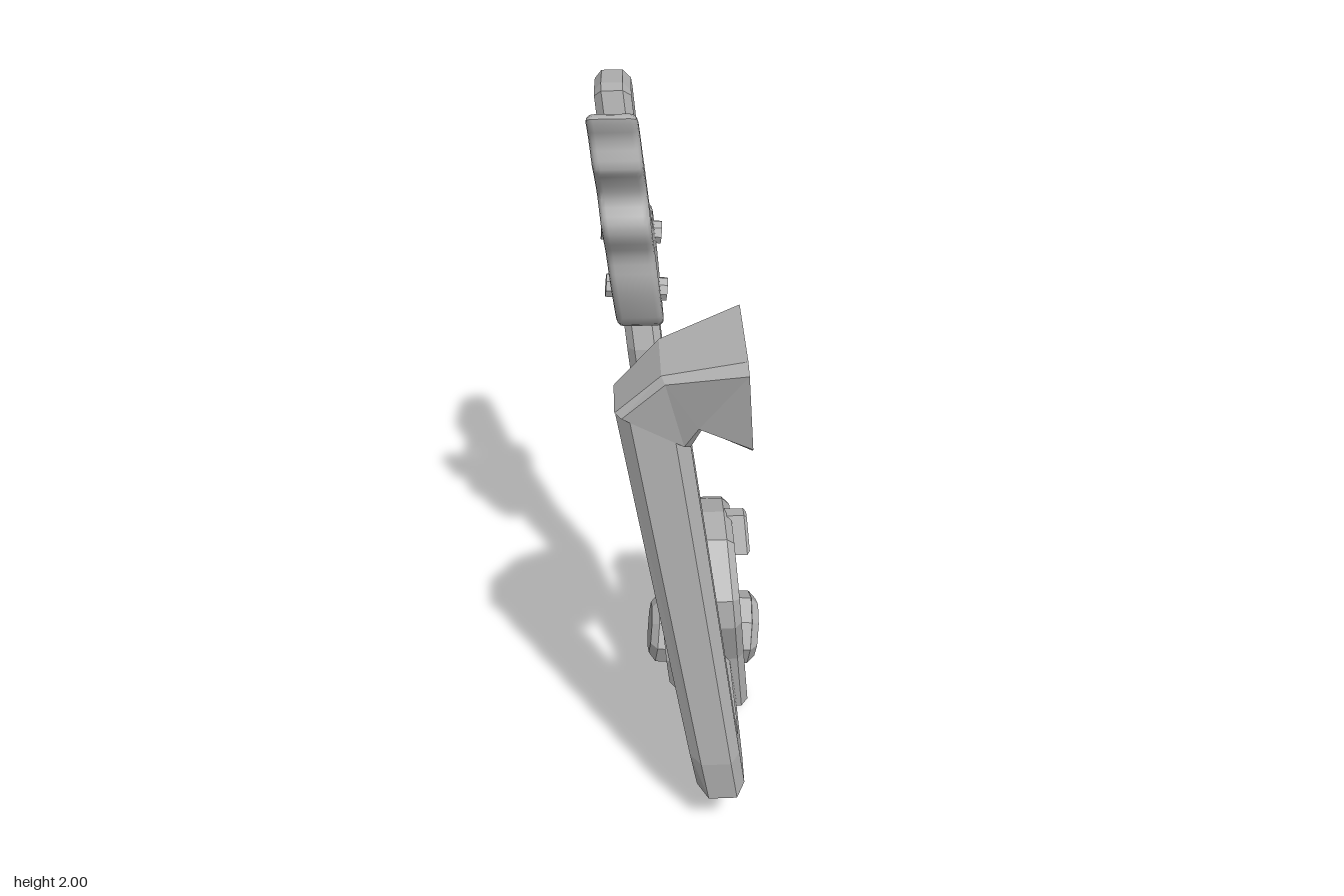
import * as THREE from 'three';
import { toCreasedNormals } from 'three/addons/utils/BufferGeometryUtils.js';

const steel = new THREE.MeshStandardMaterial({ color: 0xb4b4b4 });
steel.name = 'grey steel';

// Sideways lean of each assembly: x as a function of height
const leverX = (y) => 0.036 - 0.103 * y;
const armX = (y) => 0.117 - 0.148 * y;
const bracketX = (y) => 0.145 - 0.085 * y;

function addMesh(parent, name, geometry) {
  const mesh = new THREE.Mesh(geometry, steel);
  mesh.name = name;
  parent.add(mesh);
  return mesh;
}

// Bevelled plate from a [z, y] outline, extruded along x and leaned sideways
function plate(outline, width, bevel, lean, { hole, segments = 1 } = {}) {
  const toV = ([z, y]) => new THREE.Vector2(-z, y);
  const shape = new THREE.Shape(outline.map(toV));
  if (hole) shape.holes.push(new THREE.Path(hole.map(toV)));
  const depth = width - 2 * bevel;
  const g = new THREE.ExtrudeGeometry(shape, {
    depth, bevelEnabled: true, bevelThickness: bevel, bevelSize: bevel,
    bevelOffset: -bevel, bevelSegments: segments, steps: 1,
  });
  g.translate(0, 0, -depth / 2).rotateY(Math.PI / 2);
  const p = g.attributes.position;
  for (let i = 0; i < p.count; i++) p.setX(i, p.getX(i) + lean(p.getY(i)));
  g.computeVertexNormals();
  return g;
}

// Flat-shaded skin over four-cornered rings whose corners are chamfered
function loft(rings, chamfer) {
  const loops = rings.map((r) => r.flatMap((c, i) => [
    c.clone().lerp(r[(i + 3) % 4], chamfer), c.clone().lerp(r[(i + 1) % 4], chamfer),
  ]));
  const v = [];
  const tri = (...pts) => pts.forEach((q) => v.push(q.x, q.y, q.z));
  for (let k = 0; k < loops.length - 1; k++) {
    const a = loops[k], b = loops[k + 1];
    for (let i = 0; i < 8; i++) {
      const j = (i + 1) % 8;
      tri(a[i], b[i], b[j]);
      tri(a[i], b[j], a[j]);
    }
  }
  const first = loops[0], last = loops[loops.length - 1];
  for (let i = 1; i < 7; i++) {
    tri(first[0], first[i], first[i + 1]);
    tri(last[0], last[i + 1], last[i]);
  }
  const g = new THREE.BufferGeometry();
  g.setAttribute('position', new THREE.Float32BufferAttribute(v, 3));
  g.computeVertexNormals();
  return g;
}

// Faceted rod or bolt head between two points
function rod(parent, name, from, to, r0, r1, sides) {
  const a = new THREE.Vector3(...from), b = new THREE.Vector3(...to);
  const dir = b.clone().sub(a);
  const g = new THREE.CylinderGeometry(r1, r0, dir.length(), sides).toNonIndexed();
  g.computeVertexNormals();
  const mesh = addMesh(parent, name, g);
  mesh.position.copy(a).add(b).multiplyScalar(0.5);
  mesh.quaternion.setFromUnitVectors(new THREE.Vector3(0, 1, 0), dir.normalize());
  return mesh;
}

export function createModel() {
  const model = new THREE.Group();
  model.name = 'leverAndPedal';

  // Pedal arm: hub, elbow, upright, then the bend that flares into the pad
  const armRing = ([az, ay, bz, by]) => {
    const at = (z, y, s) => new THREE.Vector3(armX(y) + s * (0.063 + 0.015 * y), y, z);
    return [at(az, ay, 1), at(az, ay, -1), at(bz, by, -1), at(bz, by, 1)];
  };
  const padRing = ([ox, oy, ix, iy, z0, z1]) => [
    new THREE.Vector3(ix, iy, z1), new THREE.Vector3(ox, oy, z1),
    new THREE.Vector3(ox, oy, z0), new THREE.Vector3(ix, iy, z0),
  ];
  const armRings = [
    [-0.2, 0.22, -0.15, 0.45], [-0.02, 0.1, 0.055, 0.385], [0.26, 0.1, 0.225, 0.305],
    [0.43, 0.155, 0.3, 0.325], [0.45, 0.3, 0.33, 0.405],
  ].map(armRing);
  const bend = [-0.18, 1.44, 0, 1.34, 0.32, 0.475];
  addMesh(model, 'pedalArm', loft([...armRings, padRing(bend)], 0.2));
  addMesh(model, 'pedalPad', loft([
    padRing(bend),
    padRing([-0.07, 1.55, 0.025, 1.4, 0.29, 0.5]),
    padRing([0.125, 1.62, 0.14, 1.38, 0.245, 0.575]),
  ], 0.09));

  // Hand lever with its grip, crank and pivot foot
  addMesh(model, 'handLever', plate([
    [-0.245, 1.955], [-0.3, 1.955], [-0.455, 1.93], [-0.52, 1.87], [-0.405, 1.66], [-0.38, 1.55],
    [-0.37, 1.4], [-0.305, 1.185], [-0.3, 0.87], [-0.2, 0.7], [-0.21, 0.5],
    [-0.27, 0.4], [-0.42, 0.47], [-0.49, 0.45], [-0.46, 0.39], [-0.15, 0.21],
    [-0.04, 0.2], [0.08, 0.25], [0.09, 0.36], [-0.02, 0.48], [-0.09, 0.72],
    [-0.17, 0.92], [-0.16, 1.25], [-0.2, 1.45], [-0.215, 1.75],
  ], 0.095, 0.02, leverX));

  // Release trigger with finger grooves
  const triggerPoints = [
    [0.045, 2], [-0.01, 1.99], [-0.055, 1.94], [-0.07, 1.865], [-0.095, 1.83], [-0.11, 1.74],
    [-0.135, 1.675], [-0.19, 1.615], [-0.285, 1.595], [-0.375, 1.585], [-0.415, 1.55],
    [-0.42, 1.505], [-0.38, 1.455], [-0.285, 1.42], [-0.115, 1.35], [-0.07, 1.42],
    [-0.04, 1.515], [-0.035, 1.595], [0.005, 1.665], [0.01, 1.705], [-0.015, 1.765],
    [0.01, 1.825], [0.035, 1.865], [0.025, 1.935],
  ].map(([z, y]) => new THREE.Vector3(z, y, 0));
  const triggerOutline = new THREE.CatmullRomCurve3(triggerPoints, true)
    .getPoints(72).slice(0, -1).map((p) => [p.x, p.y]);
  addMesh(model, 'releaseTrigger', toCreasedNormals(
    plate(triggerOutline, 0.125, 0.018, leverX, { segments: 3 }), 0.7));

  // Rivets through the trigger
  for (const [z, y] of [[-0.145, 1.45], [-0.33, 1.525]]) {
    const x = leverX(y);
    rod(model, 'triggerRivet', [x - 0.08, y + 0.008, z], [x + 0.08, y - 0.008, z], 0.032, 0.032, 8);
  }

  // Return spring between trigger and grip
  const coil = [];
  for (let i = 0; i <= 84; i++) {
    const t = i / 84, a = t * Math.PI * 14;
    coil.push(new THREE.Vector3(leverX(1.8) + 0.05 * Math.cos(a), 1.8 + 0.05 * Math.sin(a), -0.09 - 0.145 * t));
  }
  addMesh(model, 'returnSpring',
    new THREE.TubeGeometry(new THREE.CatmullRomCurve3(coil), 168, 0.006, 6));

  // Open bracket around the pivot
  addMesh(model, 'pivotBracket', plate([
    [0.12, 0.6], [0.02, 0.74], [-0.13, 0.73], [-0.27, 0.68], [-0.415, 0.585], [-0.49, 0.505],
    [-0.45, 0.375], [-0.22, 0.18], [-0.18, 0.01], [-0.14, 0.005], [0.01, 0.12],
    [0.05, 0.335], [0.12, 0.505],
  ], 0.125, 0.02, bracketX, {
    hole: [
      [0.065, 0.585], [0.01, 0.675], [-0.13, 0.675], [-0.28, 0.62], [-0.4, 0.53], [-0.435, 0.47],
      [-0.415, 0.4], [-0.33, 0.35], [-0.25, 0.36], [-0.22, 0.43], [-0.165, 0.48],
      [-0.1, 0.495], [-0.03, 0.475], [0.045, 0.5],
    ],
  }));

  // Wedge stop on the outer face of the bracket
  addMesh(model, 'wedgeStop', plate(
    [[-0.115, 0.725], [-0.165, 0.715], [-0.175, 0.595], [-0.075, 0.615]],
    0.09, 0.008, (y) => bracketX(y) + 0.062));

  // Pivot bolt with chamfered heads on both sides
  const [pz, py] = [-0.105, 0.33];
  rod(model, 'pivotShaft', [-0.05, py, pz], [0.18, py, pz], 0.075, 0.075, 8);
  rod(model, 'pivotHeadOuter', [0.15, py, pz], [0.2, py - 0.004, pz], 0.108, 0.108, 8);
  rod(model, 'pivotHeadOuterCap', [0.2, py - 0.004, pz], [0.222, py - 0.006, pz], 0.108, 0.085, 8);
  rod(model, 'pivotHeadInner', [-0.03, py, pz], [-0.07, py + 0.004, pz], 0.1, 0.1, 8);
  rod(model, 'pivotHeadInnerCap', [-0.07, py + 0.004, pz], [-0.09, py + 0.006, pz], 0.1, 0.075, 8);

  // Adjuster: clamp block with a bolt running through it
  addMesh(model, 'adjusterBlock', plate(
    [[-0.44, 0.5], [-0.535, 0.51], [-0.555, 0.44], [-0.5, 0.4], [-0.44, 0.42]],
    0.12, 0.015, () => 0.02));
  rod(model, 'adjusterBolt', [0, 0.53, -0.43], [0, 0.35, -0.525], 0.03, 0.03, 8);
  rod(model, 'adjusterHead', [0, 0.5, -0.445], [0, 0.54, -0.425], 0.05, 0.045, 8);
  rod(model, 'adjusterNut', [0.01, 0.385, -0.5], [0.01, 0.335, -0.535], 0.045, 0.045, 6);

  return model;
}
